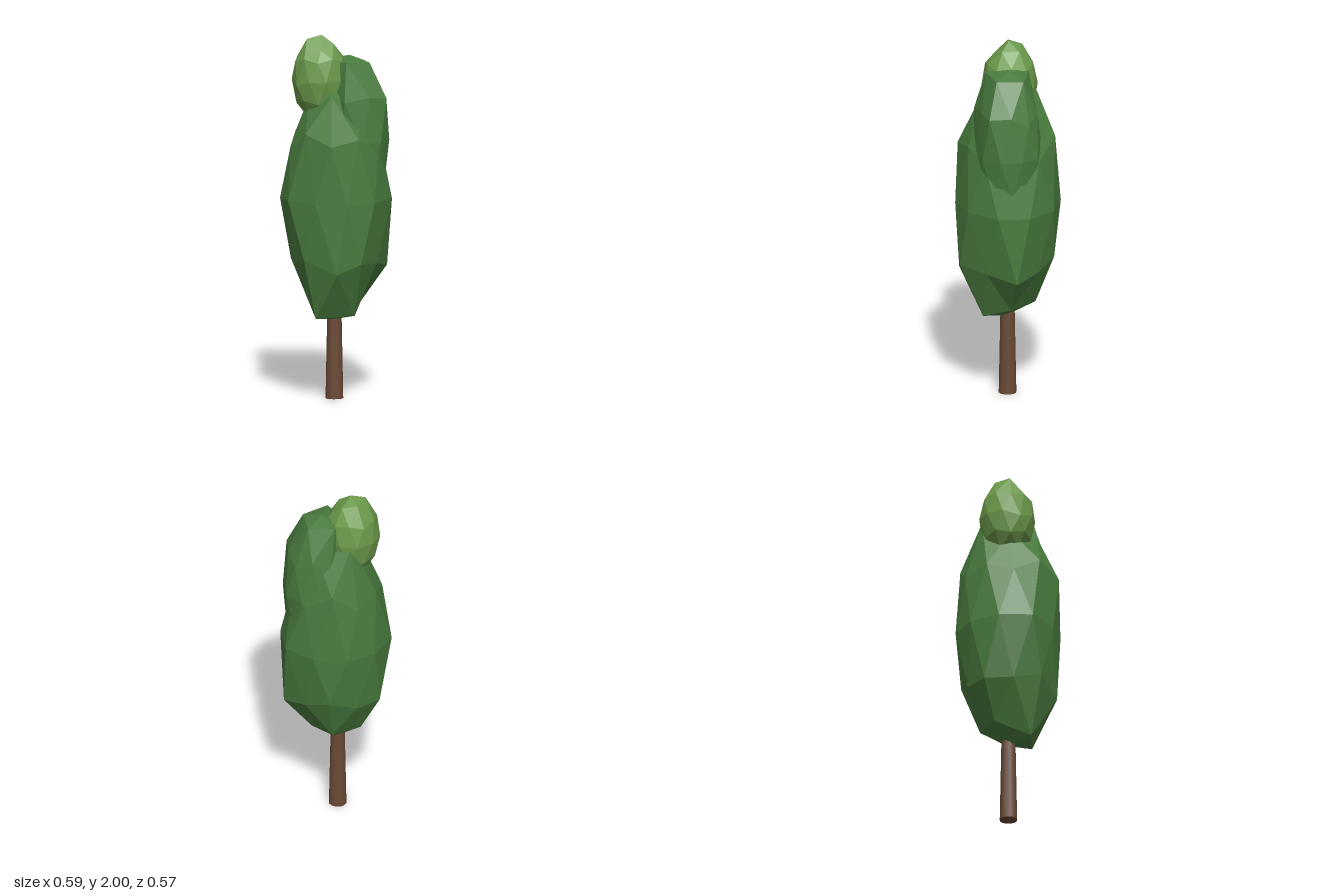
import * as THREE from 'three';
import { mergeVertices } from 'three/addons/utils/BufferGeometryUtils.js';

// Faceted leaf clump: a stretched icosphere standing on its pole,
// with its nearest corners nudged to the given points.
function leafClump(name, material, center, radii, nudges) {
  let geo = new THREE.IcosahedronGeometry(1, 1);
  geo.deleteAttribute('normal');
  geo.deleteAttribute('uv');
  geo = mergeVertices(geo, 1e-3);
  geo.rotateX(-Math.atan((1 + Math.sqrt(5)) / 2));
  geo.rotateY(Math.PI / 2);
  geo.scale(...radii);
  geo.translate(...center);

  const pos = geo.attributes.position;
  const corner = new THREE.Vector3();
  const used = new Set();
  for (const n of nudges) {
    const target = new THREE.Vector3(...n);
    let best = -1, bestDistance = Infinity;
    for (let i = 0; i < pos.count; i++) {
      const d = corner.fromBufferAttribute(pos, i).distanceTo(target);
      if (d < bestDistance && !used.has(i)) { best = i; bestDistance = d; }
    }
    used.add(best);
    pos.setXYZ(best, ...n);
  }

  geo = geo.toNonIndexed();
  geo.computeVertexNormals(); // flat facets
  const mesh = new THREE.Mesh(geo, material);
  mesh.name = name;
  return mesh;
}

export function createModel() {
  const model = new THREE.Group();
  model.name = 'tree';

  const bark = new THREE.MeshStandardMaterial({ color: 0x6b4a36 });
  bark.name = 'bark brown';
  const darkLeaf = new THREE.MeshStandardMaterial({ color: 0x4a7c3f });
  darkLeaf.name = 'leaf green';
  const lightLeaf = new THREE.MeshStandardMaterial({ color: 0x6b994a });
  lightLeaf.name = 'light leaf green';

  // Tapered trunk, reaching into the foliage
  const trunk = new THREE.Mesh(new THREE.CylinderGeometry(0.037, 0.049, 0.6, 12), bark);
  trunk.name = 'trunk';
  trunk.position.set(-0.011, 0.3, 0);
  model.add(trunk);

  // Tall main crown
  model.add(leafClump('mainCrown', darkLeaf, [0, 1.1, 0], [0.285, 0.66, 0.28], [
    // underside
    [-0.03, 0.435, 0], [-0.18, 0.455, 0.01], [-0.03, 0.47, 0.16], [0.11, 0.52, 0.08],
    // lower flank
    [-0.27, 0.79, 0], [-0.205, 0.715, 0.18], [-0.1, 0.77, 0.265],
    [0.25, 0.72, 0.155], [-0.08, 0.75, -0.25],
    // widest ring
    [-0.01, 1.1, -0.287], [-0.185, 1.1, -0.24], [-0.295, 1.11, -0.09], [-0.275, 1.1, 0.085],
    [-0.18, 1.1, 0.23], [-0.01, 1.1, 0.285], [0.19, 1.1, 0.24], [0.295, 1.1, 0.1],
    [0.27, 1.1, -0.09], [0.16, 1.1, -0.235],
    // shoulders
    [-0.255, 1.48, 0], [-0.235, 1.42, 0.165], [0.2, 1.5, -0.16],
    [-0.14, 1.68, 0.09], [0.04, 1.75, -0.15],
  ]));

  // Flat-topped side crown, towards the front left
  model.add(leafClump('sideCrown', darkLeaf, [0.08, 1.42, 0.07], [0.19, 0.47, 0.185], [
    // top
    [0.06, 1.885, 0.05],
    [0.175, 1.845, 0.045], [0.09, 1.85, 0.165], [-0.055, 1.86, 0.12],
    [0.085, 1.86, -0.07], [-0.04, 1.85, -0.02],
    // shoulders
    [-0.11, 1.65, 0.155], [0.13, 1.66, 0.25], [0.25, 1.61, 0.07],
  ]));

  // Light top crown, towards the back right
  model.add(leafClump('topCrown', lightLeaf, [-0.063, 1.755, -0.06], [0.154, 0.235, 0.153], [
    [-0.06, 2, -0.05], [-0.125, 1.98, -0.1], [-0.035, 1.975, -0.125],
    [-0.125, 1.925, 0], [-0.21, 1.73, -0.1],
  ]));

  return model;
}
